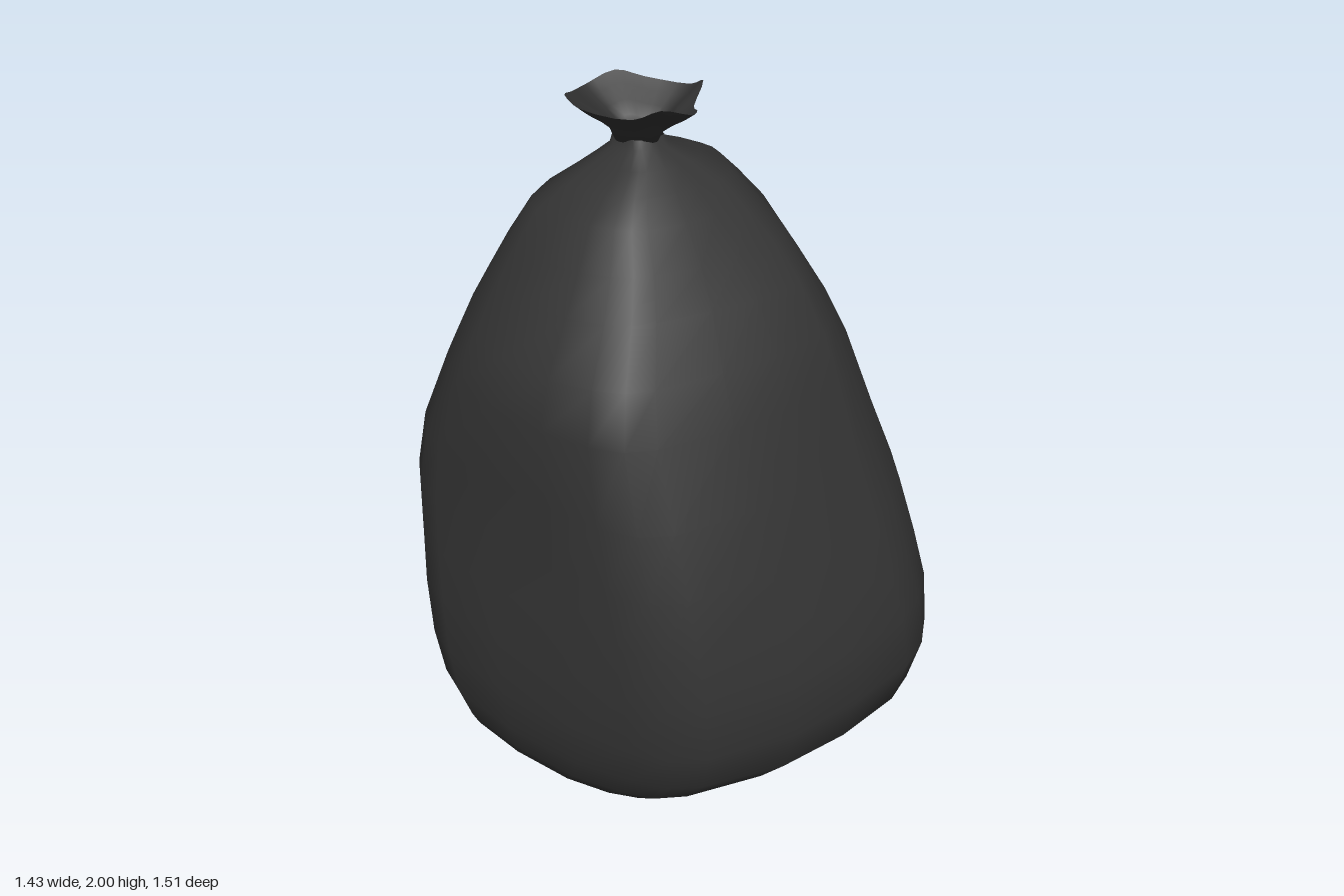
import * as THREE from 'three';

// Footprint of the sack (x, z), running counter-clockwise seen from above
const FOOTPRINT = [
  [0.1, 0.75], [0.22, 0.73], [0.34, 0.67], [0.46, 0.54], [0.55, 0.4], [0.62, 0.25], [0.68, 0.06],
  [0.713, -0.12], [0.7, -0.25], [0.65, -0.38], [0.57, -0.48], [0.46, -0.57], [0.33, -0.65], [0.18, -0.71],
  [0.02, -0.74], [-0.12, -0.755], [-0.26, -0.74], [-0.41, -0.67], [-0.55, -0.6], [-0.64, -0.5], [-0.69, -0.38],
  [-0.715, -0.13], [-0.715, 0.14], [-0.69, 0.33], [-0.65, 0.45], [-0.58, 0.53], [-0.35, 0.66], [-0.13, 0.72],
];

// Sack levels: y, min x, max x, min z, max z
const LEVELS = [
  [0.01, -0.4, 0.24, -0.34, 0.02],
  [0.04, -0.56, 0.48, -0.47, 0.22],
  [0.1, -0.66, 0.61, -0.57, 0.52],
  [0.15, -0.685, 0.645, -0.61, 0.63],
  [0.24, -0.71, 0.69, -0.665, 0.72],
  [0.38, -0.715, 0.71, -0.71, 0.755],
  [0.55, -0.7, 0.67, -0.735, 0.735],
  [0.7, -0.675, 0.63, -0.745, 0.685],
  [0.86, -0.65, 0.61, -0.755, 0.63],
  [1.03, -0.64, 0.6, -0.725, 0.565],
  [1.24, -0.635, 0.598, -0.655, 0.49],
  [1.37, -0.59, 0.565, -0.595, 0.435],
  [1.5, -0.495, 0.495, -0.52, 0.35],
  [1.6, -0.425, 0.415, -0.445, 0.275],
  [1.7, -0.355, 0.3, -0.367, 0.19],
  [1.76, -0.285, 0.22, -0.28, 0.12],
  [1.81, -0.215, 0.1, -0.21, 0.06],
  [1.85, -0.165, -0.01, -0.155, 0],
  [1.875, -0.155, -0.025, -0.148, -0.018],
];

// Folds (and bulges, when negative): direction in degrees from +x towards +z,
// width, depth, then the heights where it starts, peaks and ends
const FOLDS = [
  [64, 13, 0.07, 0.9, 1.5, 1.9],
  [38, 20, 0.14, 1.1, 1.55, 1.95],
  [36, 26, -0.1, 0.35, 0.74, 1.25],
  [-40, 21, 0.21, 0.95, 1.7, 1.95],
  [-30, 12, 0.05, 0.9, 1.35, 1.75],
  [-40, 25, -0.045, 0.1, 0.4, 0.95],
  [-80, 10, 0.05, 1, 1.6, 1.9],
  [100, 9, 0.04, 1.2, 1.75, 1.95],
  [120, 20, 0.08, 1.05, 1.5, 1.85],
  [145, 22, -0.08, 0.4, 0.85, 1.3],
  [145, 22, 0.07, 1.25, 1.6, 1.95],
  [145, 25, 0.05, 0, 0.18, 0.42],
  [-142, 22, 0.11, 0.9, 1.35, 1.75],
];

// Rim outline of the gathered top: x, z, y
const RIM = [
  [-0.13, 0.12, 1.97], [-0.05, 0.08, 1.955], [0, 0.03, 1.945], [0.08, 0, 1.99], [0.1, -0.06, 1.965],
  [0.04, -0.17, 1.98], [0, -0.24, 1.995], [-0.08, -0.28, 1.965], [-0.2, -0.22, 1.985],
  [-0.27, -0.18, 2], [-0.3, -0.1, 1.985], [-0.24, 0.02, 1.965], [-0.2, 0.08, 1.99],
];

// Centre of the tied neck
const NECK = { x: -0.09, y: 1.865, z: -0.083 };

// Skins a stack of closed rings, closing the lowest one with a centre point
function skin(rings, bottom) {
  const n = rings[0].length;
  const points = [...rings.flat(), bottom];
  const index = [];
  for (let i = 0; i < n; i++) {
    const j = (i + 1) % n;
    index.push(points.length - 1, j, i);
    for (let l = 0; l < rings.length - 1; l++) {
      const a = l * n + i, b = l * n + j;
      index.push(a, b, b + n, a, b + n, a + n);
    }
  }
  const geometry = new THREE.BufferGeometry().setFromPoints(points);
  geometry.setIndex(index);
  geometry.computeVertexNormals();
  return geometry;
}

// Inward or outward pull of the folds at a given angle and height
function foldScale(angle, y) {
  let scale = 1;
  for (const [direction, width, depth, low, peak, high] of FOLDS) {
    const d = (THREE.MathUtils.euclideanModulo(angle - direction + 180, 360) - 180) / width;
    const strength = THREE.MathUtils.smoothstep(y, low, peak) * (1 - THREE.MathUtils.smoothstep(y, peak, high));
    scale -= depth * strength * Math.exp(-d * d);
  }
  return scale;
}

function sackGeometry() {
  const rings = LEVELS.map(([y, x0, x1, z0, z1]) => FOOTPRINT.map(([px, pz]) => {
    const u = px / 0.714, v = pz / 0.753;
    const s = foldScale(THREE.MathUtils.radToDeg(Math.atan2(v, u)), y);
    return new THREE.Vector3((x0 + x1) / 2 + u * s * (x1 - x0) / 2, y, (z0 + z1) / 2 + v * s * (z1 - z0) / 2);
  }));
  return skin(rings, new THREE.Vector3(-0.08, 0, -0.16));
}

function gatheredTopGeometry() {
  const curve = new THREE.CatmullRomCurve3(RIM.map(([x, z, y]) => new THREE.Vector3(x, y, z)), true);
  const rim = curve.getPoints(39).slice(0, -1);
  // Each ring: spread from the neck, and rise from neck to rim
  const rings = [[0.34, 0], [0.42, 0.28], [0.6, 0.52], [0.82, 0.76], [1, 1]].map(([spread, rise]) =>
    rim.map((p) => new THREE.Vector3(
      THREE.MathUtils.lerp(NECK.x, p.x, spread),
      THREE.MathUtils.lerp(NECK.y, p.y, rise),
      THREE.MathUtils.lerp(NECK.z, p.z, spread),
    )));
  return skin(rings, new THREE.Vector3(NECK.x, NECK.y + 0.02, NECK.z));
}

export function createModel() {
  const plastic = new THREE.MeshStandardMaterial({ color: 0x333333, side: THREE.DoubleSide });
  plastic.name = 'black plastic';

  const model = new THREE.Group();
  model.name = 'tiedSack';
  const parts = { sackBody: sackGeometry(), gatheredTop: gatheredTopGeometry() };
  for (const [name, geometry] of Object.entries(parts)) {
    const mesh = new THREE.Mesh(geometry, plastic);
    mesh.name = name;
    model.add(mesh);
  }
  return model;
}
